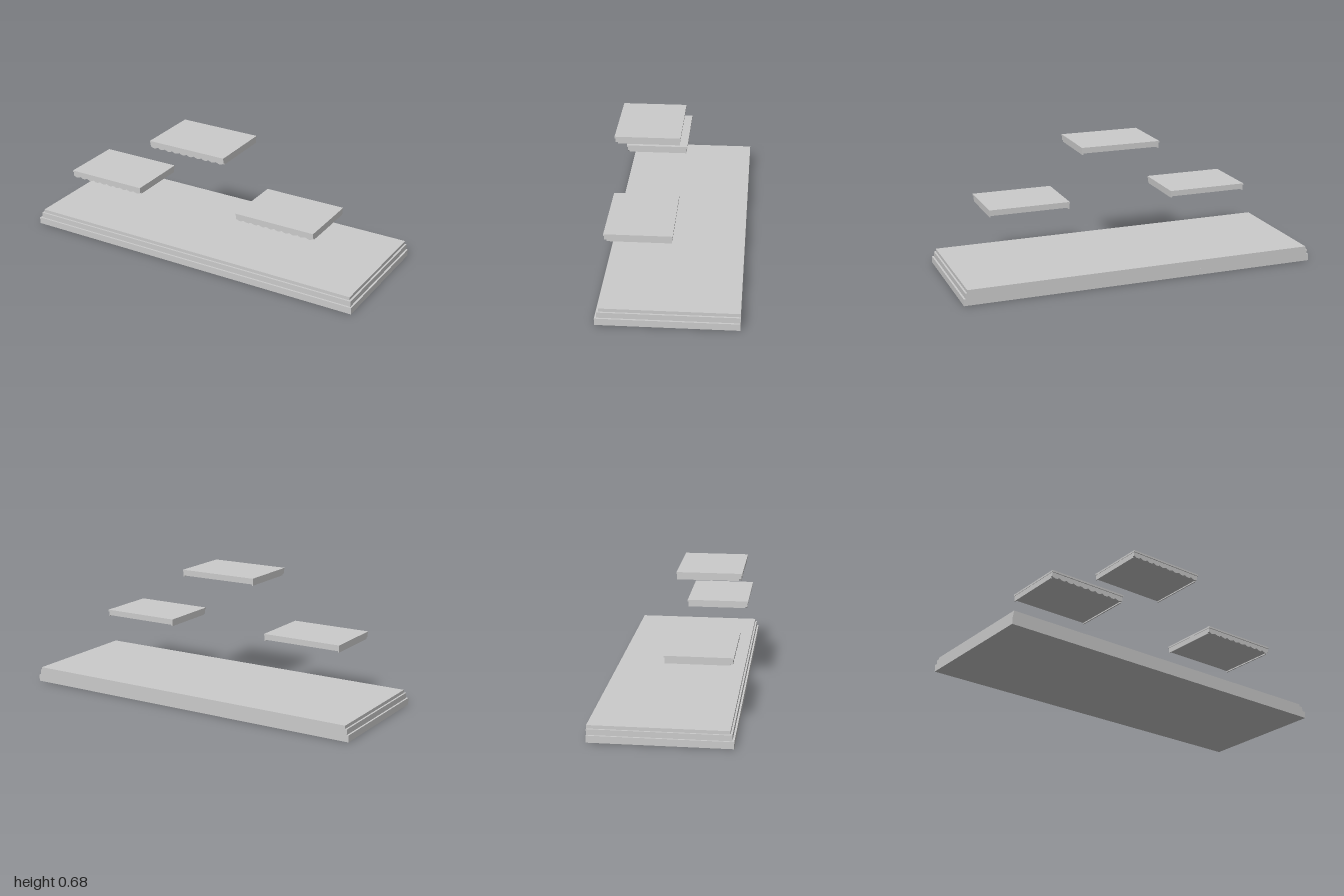
import * as THREE from 'three';

const material = new THREE.MeshStandardMaterial({ color: 0xcccccc, side: THREE.DoubleSide });

// Box given by its limits on each axis
function block(name, x0, x1, y0, y1, z0, z1) {
  const mesh = new THREE.Mesh(new THREE.BoxGeometry(x1 - x0, y1 - y0, z1 - z0), material);
  mesh.position.set((x0 + x1) / 2, (y0 + y1) / 2, (z0 + z1) / 2);
  mesh.name = name;
  return mesh;
}

// Strip with a row of rounded scallops along its lower edge
function scallopedEdge(halfWidth, top, base, drop, count, depth) {
  const shape = new THREE.Shape();
  const steps = 8;
  shape.moveTo(halfWidth, top);
  shape.lineTo(-halfWidth, top);
  for (let i = 0; i <= count * steps; i++) {
    const t = i / (count * steps);
    const bulge = Math.abs(Math.sin(t * count * Math.PI));
    shape.lineTo(-halfWidth + 2 * halfWidth * t, base - drop * bulge);
  }
  shape.closePath();
  return new THREE.ExtrudeGeometry(shape, { depth, bevelEnabled: false });
}

// Floating slab: thin lip on a flat body, scalloped front and straight side skirts
function slab(x, top) {
  const group = new THREE.Group();
  const half = 0.226;
  group.add(block('slabTop', -0.228, 0.228, -0.01, 0, -0.01, 0.342));
  group.add(block('slabBody', -half, half, -0.033, -0.01, -0.006, 0.325));
  for (const side of [-1, 1]) {
    const inner = side * (half - 0.006), outer = side * half;
    group.add(block('sideSkirt', Math.min(inner, outer), Math.max(inner, outer), -0.04, -0.033, -0.006, 0.325));
  }
  const edge = new THREE.Mesh(scallopedEdge(half, -0.01, -0.032, 0.008, 10, 0.012), material);
  edge.position.z = 0.325;
  edge.name = 'scallopedFront';
  group.add(edge);
  group.position.set(x, top, 0);
  group.name = 'floatingSlab';
  return group;
}

export function createModel() {
  const model = new THREE.Group();
  model.name = 'steppedBaseWithSlabs';

  // Stepped base: flush at the back, stepping in at the front and sides
  const tiers = [
    ['lowerTier', 1, 0, 0.037, 0.367],
    ['middleTier', 0.99, 0.037, 0.067, 0.357],
    ['upperTier', 0.98, 0.067, 0.085, 0.347],
  ];
  for (const [name, half, y0, y1, front] of tiers) {
    model.add(block(name, -half, half, y0, y1, -0.366, front));
  }

  // Three slabs, the middle one raised
  for (const [x, top] of [[-0.53, 0.385], [0, 0.683], [0.53, 0.385]]) model.add(slab(x, top));
  return model;
}
